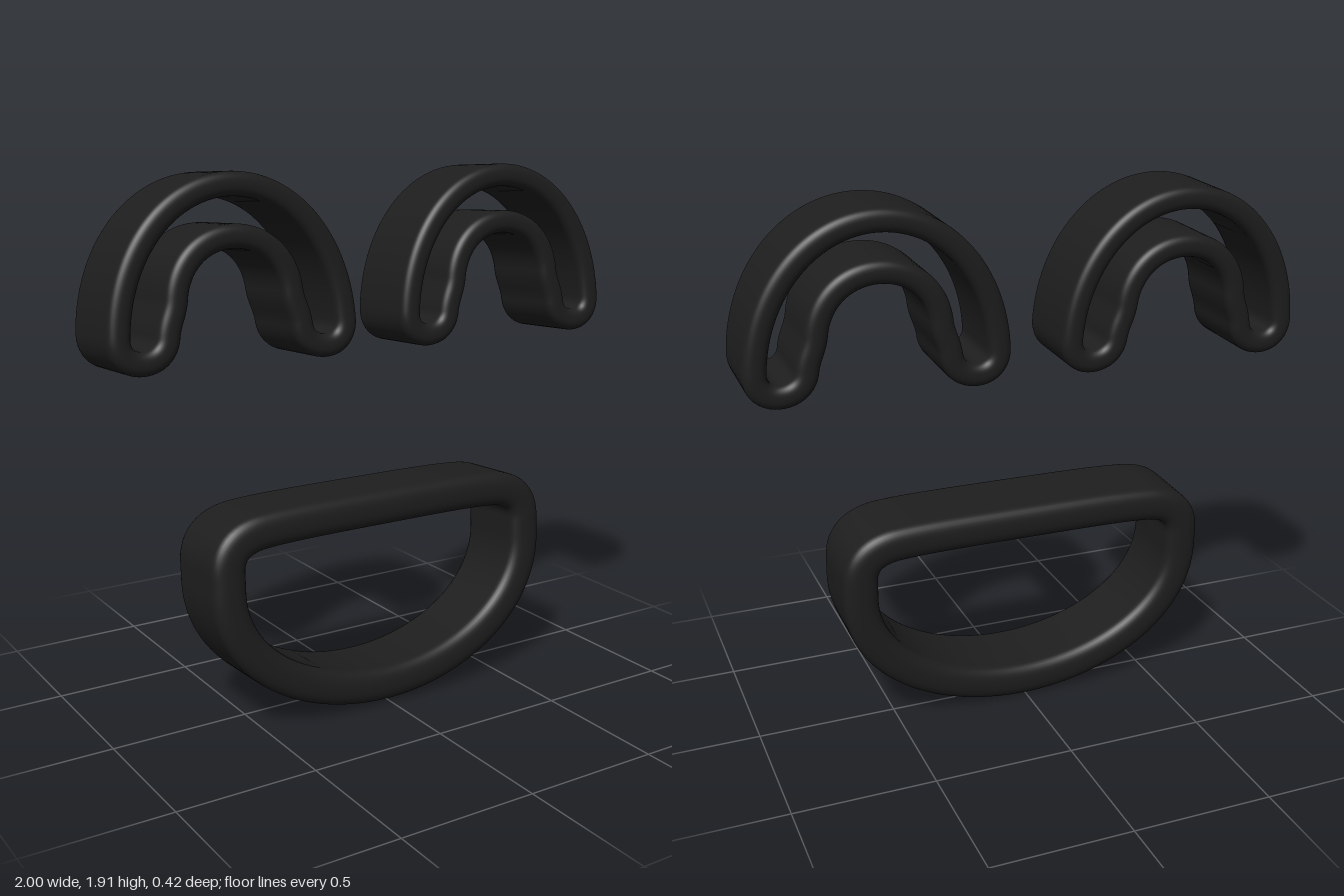
import * as THREE from 'three';

const black = new THREE.MeshStandardMaterial({ color: 0x1e1e1e });
black.name = 'soft black';

const TILT = -0.05;
const V = (x, y) => new THREE.Vector2(x, y);

// Half outline from segments of 2, 3 or 4 control points, mirrored into a closed loop
function mirroredLoop(segments) {
  const half = new THREE.CurvePath();
  for (const s of segments) {
    const p = s.map(([x, y]) => V(x, y));
    half.add(p.length === 2 ? new THREE.LineCurve(...p)
      : p.length === 3 ? new THREE.QuadraticBezierCurve(...p)
      : new THREE.CubicBezierCurve(...p));
  }
  const right = half.getSpacedPoints(110);
  const left = right.slice(1, -1).reverse().map((p) => V(-p.x, p.y));
  return [...right, ...left];
}

// Sweep a flat band with softly rounded rims round a closed loop
function bandGeometry(loop, halfThick, halfDepth, rim) {
  const section = [];
  const steps = 8, power = 2 / 2.4;
  for (let q = 0; q < 4; q++) {
    for (let k = 0; k <= steps; k++) {
      const a = (q + k / steps) * Math.PI / 2;
      const c = Math.cos(a), s = Math.sin(a);
      const side = q < 2 ? 1 : -1;
      // the two poles of each rim are shared by neighbouring quarters
      if (k === 0 && q % 2 === 1) continue;
      section.push([
        Math.sign(c) * Math.abs(c) ** power * halfThick,
        side * (halfDepth - rim + Math.abs(s) ** power * rim),
      ]);
    }
  }
  const n = loop.length, m = section.length;
  const position = [], index = [];
  for (let i = 0; i < n; i++) {
    const t = loop[(i + 1) % n].clone().sub(loop[(i + n - 1) % n]).normalize();
    for (let j = 0; j < m; j++) {
      const [u, z] = section[j];
      position.push(loop[i].x + t.y * u, loop[i].y - t.x * u, z);
      const a = i * m + j, b = ((i + 1) % n) * m + j;
      const c = i * m + (j + 1) % m, d = ((i + 1) % n) * m + (j + 1) % m;
      index.push(a, b, c, b, d, c);
    }
  }
  const g = new THREE.BufferGeometry();
  g.setAttribute('position', new THREE.Float32BufferAttribute(position, 3));
  g.setIndex(index);
  g.computeVertexNormals();
  return g;
}

// Place a band leaning slightly back about its own middle height
function addBand(group, name, geometry, x, y, z) {
  const mesh = new THREE.Mesh(geometry, black);
  mesh.name = name;
  mesh.position.set(x, y, z);
  mesh.rotation.x = TILT;
  group.add(mesh);
}

export function createModel() {
  const group = new THREE.Group();
  group.name = 'smilingFace';

  // Arched eyes: outer arch, rounded foot, inner arch
  const eyeY = 1.595;
  const eye = bandGeometry(mirroredLoop([
    [[0, 1.869], [0.22, 1.869], [0.40, 1.67], [0.413, 1.40]],
    [[0.413, 1.40], [0.414, 1.35], [0.38, 1.32], [0.335, 1.32]],
    [[0.335, 1.32], [0.285, 1.32], [0.248, 1.35], [0.243, 1.40]],
    [[0.243, 1.40], [0.235, 1.45], [0.215, 1.47], [0.21, 1.52]],
    [[0.21, 1.52], [0.195, 1.63], [0.11, 1.703], [0, 1.703]],
  ]), 0.04, 0.157, 0.035).translate(0, -eyeY, 0);
  addBand(group, 'leftEye', eye, 0.546, eyeY, -0.042);
  addBand(group, 'rightEye', eye, -0.546, eyeY, -0.042);

  // Open mouth: nearly flat lip, tight corners, round bottom
  const mouthY = 0.398;
  const mouth = bandGeometry(mirroredLoop([
    [[0, 0.727], [0.25, 0.727], [0.40, 0.727], [0.50, 0.717]],
    [[0.50, 0.717], [0.62, 0.70], [0.627, 0.60]],
    [[0.627, 0.60], [0.627, 0.52]],
    [[0.627, 0.52], [0.627, 0.25], [0.33, 0.07], [0, 0.07]],
  ]), 0.063, 0.155, 0.045).translate(0, -mouthY, 0);
  addBand(group, 'mouth', mouth, 0, mouthY, 0.04);

  return group;
}
